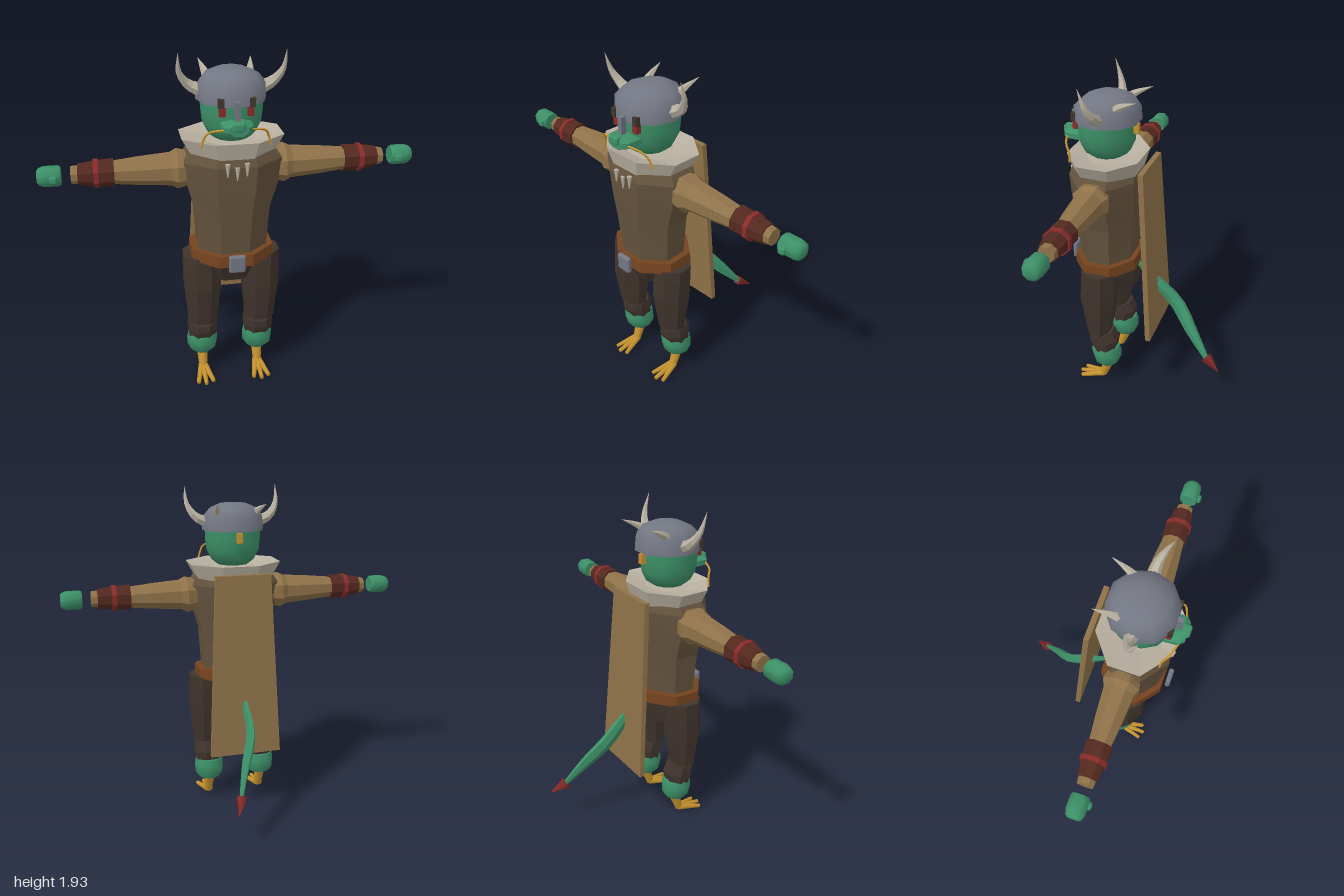
import * as THREE from 'three';
import { toCreasedNormals } from 'three/addons/utils/BufferGeometryUtils.js';
import { RoundedBoxGeometry } from 'three/addons/geometries/RoundedBoxGeometry.js';

const colours = {
  greenSkin: 0x3d9169, helmetGrey: 0x737783, bone: 0xb8b0a0, tunicBrown: 0x64533d,
  sleeveTan: 0x8f7249, beltLeather: 0x75431f, trouserBrown: 0x40342d,
  bracerBrown: 0x54291f, red: 0x8a2c2a, claw: 0xc6942f,
};
const FLAT = 0.2, SMOOTH = 0.95;

export function createModel() {
  const model = new THREE.Group();
  model.name = 'hornedWarrior';
  const mats = {};
  for (const [name, color] of Object.entries(colours)) {
    mats[name] = new THREE.MeshStandardMaterial({ color });
    mats[name].name = name;
  }
  const add = (name, geo, mat, parent = model) => {
    const mesh = new THREE.Mesh(geo, mats[mat]);
    mesh.name = name;
    parent.add(mesh);
    return mesh;
  };
  const group = (name) => {
    const g = new THREE.Group();
    g.name = name;
    model.add(g);
    return g;
  };
  const V = (x, y, z) => new THREE.Vector3(x, y, z);

  // Stacked rings [y, rx, rz, cz, tilt] with a flat side to the front; caps unless open
  const loft = (rings, sides = 8, crease = FLAT) => {
    const pos = [], idx = [], k = 1 / Math.cos(Math.PI / sides);
    for (const [y, rx, rz, cz = 0, tilt = 0] of rings)
      for (let i = 0; i < sides; i++) {
        const a = ((i + 0.5) / sides) * Math.PI * 2, dz = Math.cos(a) * rz * k;
        pos.push(Math.sin(a) * rx * k, y + tilt * dz, cz + dz);
      }
    for (let r = 0; r < rings.length - 1; r++)
      for (let i = 0; i < sides; i++) {
        const a = r * sides + i, b = r * sides + ((i + 1) % sides);
        idx.push(a, b, a + sides, b, b + sides, a + sides);
      }
    const top = (rings.length - 1) * sides;
    for (let i = 1; i < sides - 1; i++) idx.push(0, i + 1, i, top, top + i, top + i + 1);
    const geo = new THREE.BufferGeometry();
    geo.setAttribute('position', new THREE.Float32BufferAttribute(pos, 3));
    geo.setIndex(idx);
    return toCreasedNormals(geo, crease);
  };
  // Straight tapered rod between two points
  const rod = (a, b, ra, rb, sides = 8) => {
    const d = b.clone().sub(a);
    const geo = new THREE.CylinderGeometry(rb, ra, d.length(), sides);
    geo.applyQuaternion(new THREE.Quaternion().setFromUnitVectors(V(0, 1, 0), d.normalize()));
    const m = a.clone().add(b).multiplyScalar(0.5);
    return geo.translate(m.x, m.y, m.z);
  };
  // Curved tube whose radius follows a rule; squash narrows it across x
  const sweep = (pts, radius, sides = 6, steps = 8, squash = 1) => {
    const curve = new THREE.CatmullRomCurve3(pts);
    const geo = new THREE.TubeGeometry(curve, steps, 1, sides);
    const p = geo.attributes.position, v = V(0, 0, 0);
    for (let i = 0; i < p.count; i++) {
      const t = Math.floor(i / (sides + 1)) / steps, c = curve.getPointAt(t);
      v.fromBufferAttribute(p, i).sub(c).multiplyScalar(radius(t));
      v.x *= squash;
      v.add(c);
      p.setXYZ(i, v.x, v.y, v.z);
    }
    return toCreasedNormals(geo, FLAT);
  };
  const box = (w, h, d, x, y, z) => new THREE.BoxGeometry(w, h, d).translate(x, y, z);

  // Torso, belt and hips
  add('tunic', loft([[0.85, 0.185, 0.15, 0.247], [1.1, 0.2, 0.172, 0.247], [1.25, 0.242, 0.184, 0.245],
    [1.38, 0.257, 0.19, 0.245], [1.45, 0.21, 0.17, 0.24]]), 'tunicBrown');
  add('belt', loft([[0.808, 0.226, 0.185, 0.245, -0.02], [0.873, 0.222, 0.18, 0.245, -0.02]]), 'beltLeather');
  add('buckle', new RoundedBoxGeometry(0.09, 0.1, 0.03, 2, 0.012).translate(0, 0.84, 0.457), 'helmetGrey');
  add('hips', loft([[0.67, 0.13, 0.13, 0.21], [0.73, 0.16, 0.145, 0.22], [0.82, 0.19, 0.165, 0.24]]), 'trouserBrown');

  // Flared collar and tooth pendants
  add('collar', loft([[1.41, 0.215, 0.18, 0.24, 0.04], [1.505, 0.265, 0.204, 0.236, 0.02],
    [1.475, 0.13, 0.11, 0.24]]), 'bone');
  for (const x of [-0.05, 0, 0.05]) {
    const y = x ? 1.405 : 1.385;
    add('toothPendant', rod(V(x, y, 0.436), V(x, y - 0.07, 0.44), 0.014, 0.003, 6), 'bone');
  }

  // Head and face
  const head = group('head');
  add('skull', loft([[1.49, 0.09, 0.09, 0.243], [1.515, 0.12, 0.125, 0.243], [1.57, 0.148, 0.15, 0.243],
    [1.64, 0.155, 0.157, 0.243], [1.72, 0.155, 0.157, 0.243]], 12, SMOOTH), 'greenSkin', head);
  const muzzle = loft([[0.37, 0.08, 0.036], [0.45, 0.075, 0.034], [0.475, 0.05, 0.03]]);
  add('muzzle', muzzle.rotateX(Math.PI / 2).translate(0, 1.592, 0), 'greenSkin', head);
  add('snoutTip', new RoundedBoxGeometry(0.06, 0.045, 0.05, 2, 0.012).translate(0, 1.61, 0.465), 'greenSkin', head);
  add('hairBead', box(0.03, 0.055, 0.035, 0, 1.655, 0.074), 'claw', head);
  for (const s of [1, -1]) {
    add('eye', box(0.032, 0.045, 0.03, s * 0.07, 1.665, 0.392), 'red', head);
    add('brow', box(0.03, 0.045, 0.025, s * 0.078, 1.71, 0.4), 'trouserBrown', head);
    add('whisker', sweep([V(s * 0.07, 1.59, 0.45), V(s * 0.14, 1.573, 0.425), V(s * 0.165, 1.53, 0.4),
      V(s * 0.178, 1.485, 0.395)], () => 0.006, 5), 'claw', head);
  }

  // Helmet with nose guard and two pairs of horns
  const helmet = group('helmet');
  add('helmetDome', loft([[1.69, 0.174, 0.177, 0.235], [1.765, 0.17, 0.172, 0.235], [1.81, 0.135, 0.135, 0.225],
    [1.837, 0.075, 0.08, 0.225], [1.842, 0.03, 0.03, 0.225]], 10, SMOOTH), 'helmetGrey', helmet);
  add('noseGuard', box(0.026, 0.1, 0.03, 0, 1.67, 0.425), 'helmetGrey', helmet);
  for (const s of [1, -1]) {
    add('sideHorn', sweep([V(s * 0.14, 1.73, 0.235), V(s * 0.215, 1.763, 0.232), V(s * 0.262, 1.83, 0.255),
      V(s * 0.27, 1.935, 0.288)], (t) => 0.038 * (1 - t) + 0.001), 'bone', helmet);
    add('backHorn', sweep([V(s * 0.105, 1.77, 0.17), V(s * 0.12, 1.805, 0.12), V(s * 0.14, 1.845, 0.026)],
      (t) => 0.03 * (1 - t) + 0.001), 'bone', helmet);
  }

  for (const s of [1, -1]) {
    const side = s > 0 ? 'left' : 'right';

    // Arm pieces run outward along x
    const arm = group(side + 'Arm');
    const outward = (name, rings, mat, crease) =>
      add(name, loft(rings.map(([x, r]) => [x, r, r]), 8, crease)
        .rotateZ(-s * Math.PI / 2).translate(0, 1.32, 0.237), mat, arm);
    outward('upperSleeve', [[0.2, 0.075], [0.25, 0.09], [0.285, 0.098], [0.32, 0.081], [0.5, 0.068]], 'sleeveTan');
    outward('lowerSleeve', [[0.495, 0.068], [0.62, 0.056], [0.83, 0.042]], 'sleeveTan');
    outward('bracer', [[0.61, 0.068], [0.7, 0.063], [0.795, 0.052]], 'bracerBrown');
    outward('bracerBand', [[0.69, 0.07], [0.715, 0.07]], 'red');
    outward('hand', [[0.88, 0.044], [0.895, 0.05], [0.965, 0.05], [0.99, 0.042], [1, 0.03]], 'greenSkin', SMOOTH);
    add('thumb', new RoundedBoxGeometry(0.042, 0.042, 0.06, 2, 0.014)
      .translate(s * 0.915, 1.317, 0.275), 'greenSkin', arm);

    // Leg with furry cuff and three-toed foot
    const leg = group(side + 'Leg');
    leg.position.x = s * 0.165;
    add('thigh', loft([[0.38, 0.082, 0.066, 0.267], [0.44, 0.085, 0.076, 0.265], [0.62, 0.102, 0.105, 0.26],
      [0.82, 0.102, 0.1, 0.25]]), 'trouserBrown', leg);
    add('shin', loft([[0.265, 0.078, 0.07, 0.23, -0.15], [0.32, 0.084, 0.085, 0.237, -0.1],
      [0.375, 0.08, 0.07, 0.25, -0.25]]), 'trouserBrown', leg);
    add('legCuff', loft([[0.145, 0.06, 0.058, 0.215, -0.1], [0.175, 0.082, 0.078, 0.22, -0.1],
      [0.235, 0.086, 0.088, 0.228], [0.272, 0.078, 0.078, 0.228]], 10, SMOOTH), 'greenSkin', leg);
    add('ankle', rod(V(0, 0.155, 0.21), V(0, 0.03, 0.255), 0.034, 0.024), 'claw', leg);
    for (const x of [-0.045, 0, 0.045])
      add('toe', rod(V(x * 0.2, 0.036, 0.25), V(x, 0.014, 0.405 - Math.abs(x) * 0.4), 0.019, 0.012, 6), 'claw', leg);
  }

  // Stiff cape, wider and further back at the hem
  const cape = new THREE.BoxGeometry(1, 1.06, 0.03).translate(0, 0.93, 0);
  const p = cape.attributes.position;
  for (let i = 0; i < p.count; i++) {
    const t = (p.getY(i) - 0.4) / 1.06;
    p.setX(i, p.getX(i) * (0.42 - 0.1 * t));
    p.setZ(i, p.getZ(i) - 0.055 * (1 - t));
  }
  cape.computeVertexNormals();
  add('cape', cape, 'sleeveTan');

  // Tail with barbed tip
  const tail = group('tail');
  add('tailBody', sweep([V(0, 0.82, 0.08), V(0, 0.69, -0.05), V(0, 0.57, -0.17), V(0.065, 0.42, -0.29),
    V(0.125, 0.27, -0.41)], (t) => 0.014 + 0.032 * Math.sin(Math.PI * t), 6, 10, 0.55), 'greenSkin', tail);
  add('tailBarb', rod(V(0.115, 0.29, -0.395), V(0.155, 0.225, -0.485), 0.036, 0.001, 4), 'red', tail);

  return model;
}
